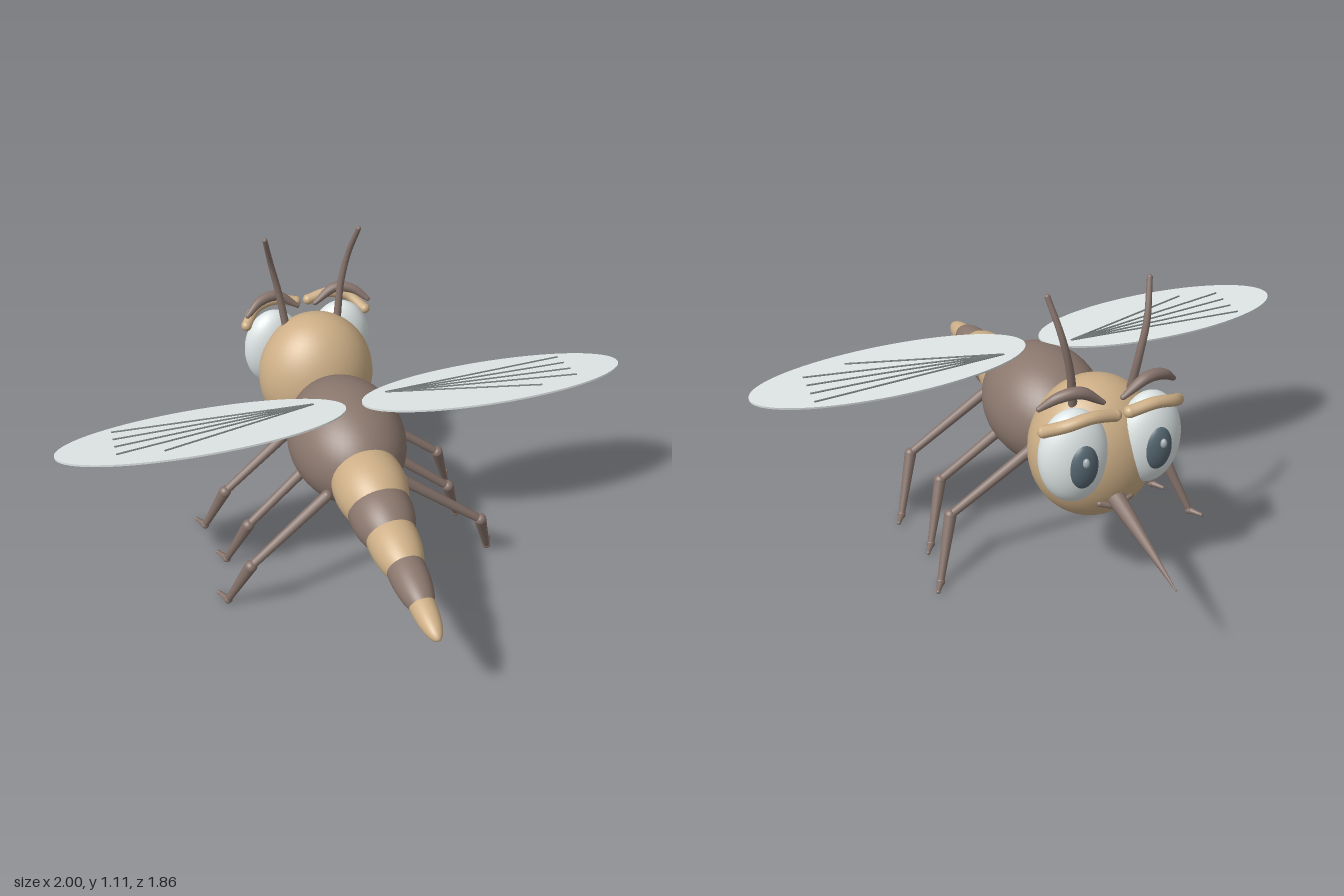
import * as THREE from 'three';

const mat = (name, color) => {
  const m = new THREE.MeshStandardMaterial({ color });
  m.name = name;
  return m;
};
const V = (x, y, z) => new THREE.Vector3(x, y, z);

export function createModel() {
  const root = new THREE.Group();
  root.name = 'mosquito';
  const tan = mat('tan', 0xcdaf87);
  const brown = mat('brown', 0x8a776d);
  const limb = mat('limb brown', 0x85726a);
  const white = mat('eye white', 0xdee5e5);
  const slate = mat('iris slate', 0x566771);
  const glint = mat('glint grey', 0xa4b0b4);
  const pale = mat('wing pale', 0xdfe6e5);
  const vein = mat('vein grey', 0x6c7474);

  const add = (name, geo, material, parent = root) => {
    const m = new THREE.Mesh(geo, material);
    m.name = name;
    parent.add(m);
    return m;
  };
  const ellipsoid = (name, c, r, material, parent = root) => {
    const m = add(name, new THREE.SphereGeometry(1, 40, 28), material, parent);
    m.position.set(...c);
    m.scale.set(...r);
    return m;
  };
  // Straight tapered rod from a to b
  const rod = (name, a, b, ra, rb, material, parent) => {
    const d = b.clone().sub(a);
    const m = add(name, new THREE.CylinderGeometry(rb, ra, d.length(), 14), material, parent);
    m.position.copy(a).add(b).multiplyScalar(0.5);
    m.quaternion.setFromUnitVectors(V(0, 1, 0), d.normalize());
  };
  // Curved round rod whose radius follows radius(t), with ball ends
  const bentRod = (name, pts, radius, material, parent) => {
    const g = new THREE.Group();
    g.name = name;
    parent.add(g);
    const curve = new THREE.CatmullRomCurve3(pts), N = 28, R = 12;
    const geo = new THREE.TubeGeometry(curve, N, 1, R);
    const p = geo.attributes.position, v = V(0, 0, 0);
    for (let i = 0; i < p.count; i++) {
      const t = Math.floor(i / (R + 1)) / N, c = curve.getPointAt(t);
      v.fromBufferAttribute(p, i).sub(c).multiplyScalar(radius(t)).add(c);
      p.setXYZ(i, v.x, v.y, v.z);
    }
    add(name + 'Rod', geo, material, g);
    for (const t of [0, 1]) {
      const r = radius(t);
      ellipsoid(name + 'End', curve.getPointAt(t).toArray(), [r, r, r], material, g);
    }
  };

  // Body
  ellipsoid('thorax', [0, 0.493, 0.01], [0.208, 0.208, 0.28], brown);
  ellipsoid('head', [0, 0.537, -0.38], [0.22, 0.248, 0.193], tan);

  // Abdomen: five shrinking overlapping segments [z, y, radius, half length]
  [
    [0.28, 0.478, 0.126, 0.19], [0.4, 0.455, 0.108, 0.17], [0.52, 0.437, 0.085, 0.185],
    [0.66, 0.42, 0.063, 0.18], [0.785, 0.404, 0.042, 0.15],
  ].forEach(([z, y, r, len], i) => {
    ellipsoid('abdomenSegment' + (i + 1), [0, y, z], [r, r, len], i % 2 ? brown : tan).rotation.x = 0.1;
  });

  // Proboscis and mouth
  rod('proboscis', V(0, 0.435, -0.53), V(0, 0.34, -0.93), 0.032, 0.002, limb, root);
  bentRod('mouth', [V(-0.055, 0.42, -0.542), V(0, 0.407, -0.555), V(0.055, 0.42, -0.542)],
    () => 0.011, limb, root);

  for (const s of [1, -1]) {
    const side = new THREE.Group();
    side.name = s > 0 ? 'leftSide' : 'rightSide';
    root.add(side);
    const P = (x, y, z) => V(s * x, y, z);

    // Eye
    const eye = ellipsoid('eyeball', [s * 0.134, 0.605, -0.507], [0.115, 0.16, 0.077], white, side);
    eye.rotation.set(0.06, -s * 0.12, 0);
    ellipsoid('iris', [s * 0.13, 0.598, -0.568], [0.05, 0.078, 0.03], slate, side);
    ellipsoid('eyeGlint', [s * 0.135, 0.628, -0.597], [0.011, 0.016, 0.011], glint, side);

    // Lid ridge and brow
    bentRod('lidRidge', [P(0.235, 0.715, -0.505), P(0.185, 0.752, -0.56), P(0.11, 0.77, -0.575), P(0.025, 0.755, -0.568)],
      () => 0.02, tan, side);
    bentRod('brow', [P(0.235, 0.775, -0.47), P(0.18, 0.815, -0.495), P(0.115, 0.823, -0.508), P(0.035, 0.77, -0.505)],
      t => 0.009 + 0.011 * Math.sin(Math.PI * t), limb, side);

    // Antenna
    bentRod('antenna', [P(0.1, 0.73, -0.43), P(0.12, 0.87, -0.446), P(0.145, 0.985, -0.44), P(0.173, 1.105, -0.397)],
      t => 0.015 - 0.006 * t, limb, side);

    // Legs: [z of knee, inward shift]
    [[-0.15, 0], [0.065, 0.04], [0.28, 0]].forEach(([z, inset], i) => {
      const leg = new THREE.Group();
      leg.name = ['frontLeg', 'middleLeg', 'rearLeg'][i];
      side.add(leg);
      const hip = P(0.14, 0.44 - inset * 0.5, z - 0.04), knee = P(0.425 - inset, 0.228, z);
      const ankle = P(0.5 - inset, 0.02, z - 0.08), toe = P(0.525 - inset, 0.02, z - 0.125);
      rod('thigh', hip, knee, 0.02, 0.015, limb, leg);
      rod('shin', knee, ankle, 0.022, 0.012, limb, leg);
      rod('foot', ankle, toe, 0.013, 0.007, limb, leg);
      for (const [n, c, r] of [['hip', hip, 0.02], ['knee', knee, 0.022], ['ankle', ankle, 0.015], ['toe', toe, 0.008]])
        ellipsoid(n, c.toArray(), [r, r, r], limb, leg);
    });

    // Wing: thin pale blade with fine raised veins
    const wing = new THREE.Group();
    wing.name = 'wing';
    wing.position.set(s * 0.515, 0.693, 0.102);
    wing.rotation.x = -0.1;
    side.add(wing);
    const blade = add('wingBlade', new THREE.CylinderGeometry(1, 1, 0.007, 72), pale, wing);
    blade.scale.set(0.485, 1, 0.153);
    for (const [x, z] of [[0.81, 0.01], [0.81, 0.06], [0.81, 0.11], [0.81, 0.16], [0.66, 0.19]])
      rod('wingVein', V(s * -0.385, 0.003, -0.05), V(s * (x - 0.515), 0.003, z - 0.102), 0.004, 0.004, vein, wing);
  }
  return root;
}
